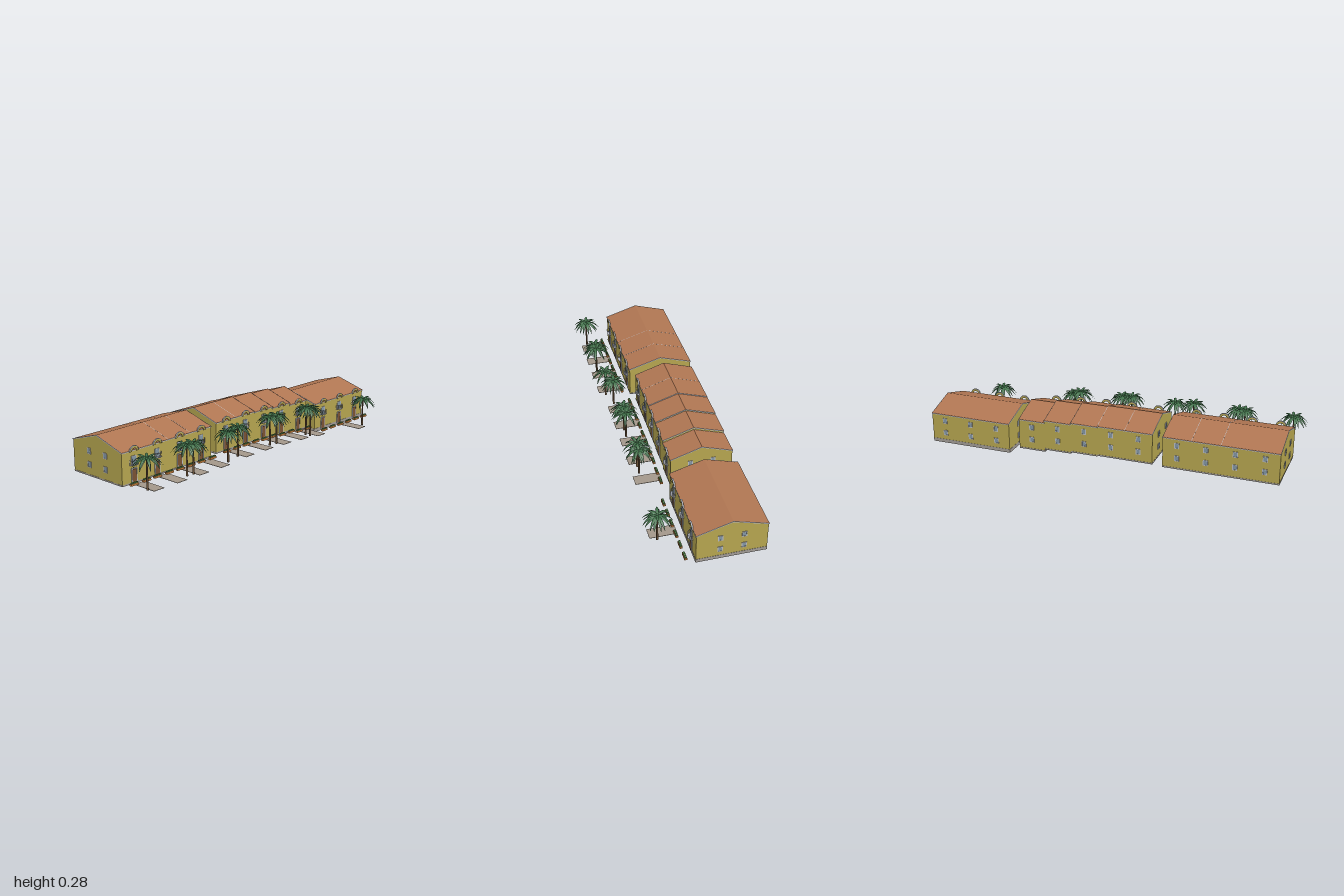
import * as THREE from 'three';

const mat = (color, double) => new THREE.MeshStandardMaterial({ color, side: double ? THREE.DoubleSide : THREE.FrontSide });
const M = {
  wall: mat(0xb5a54f, true), roof: mat(0xb07652, true), trim: mat(0xb9bcc4), glass: mat(0x8195a3),
  door: mat(0x7a5233), plinth: mat(0xa09a94), paving: mat(0xa3978a), pot: mat(0xc07a3a),
  plant: mat(0x4f7a45), trunk: mat(0x6a5138), leaf: mat(0x3f7048, true),
};

function add(parent, name, geo, material, x = 0, y = 0, z = 0) {
  const mesh = new THREE.Mesh(geo, material);
  mesh.name = name;
  mesh.position.set(x, y, z);
  parent.add(mesh);
  return mesh;
}
const box = (parent, name, w, h, d, m, x, y, z) => add(parent, name, new THREE.BoxGeometry(w, h, d), m, x, y, z);

// Extrudes a [z, y] outline along +x, starting at x
function slab(parent, name, points, width, m, x) {
  const shape = new THREE.Shape(points.map(([z, y]) => new THREE.Vector2(-z, y)));
  const geo = new THREE.ExtrudeGeometry(shape, { depth: width, bevelEnabled: false });
  geo.rotateY(Math.PI / 2);
  return add(parent, name, geo, m, x);
}

const EAVE = 0.155, RIDGE = 0.209;

// Shell of one stretch of houses: open below, with gables, roof and trims
function shell(parent, x0, x1, zb, zf, g, plinthH) {
  const s = new THREE.Group();
  s.name = 'houseShell';
  s.position.y = g;
  parent.add(s);
  const zm = (zb + zf) / 2, w = x1 - x0, cx = (x0 + x1) / 2, t = 0.003;
  const gable = [[zb, -0.01], [zf, -0.01], [zf, EAVE], [zm, RIDGE], [zb, EAVE]];
  slab(s, 'gableWall', gable, t, M.wall, x0);
  slab(s, 'gableWall', gable, t, M.wall, x1 - t);
  for (const [name, z] of [['frontWall', zf - t / 2], ['backWall', zb + t / 2]])
    box(s, name, w, EAVE + 0.01, t, M.wall, cx, (EAVE - 0.01) / 2, z);
  const chevron = (o, lo, hi) => [[zf + o, EAVE + lo], [zm, RIDGE + lo], [zb - o, EAVE + lo],
    [zb - o, EAVE + hi], [zm, RIDGE + hi], [zf + o, EAVE + hi]];
  slab(s, 'roof', chevron(0.002, 0, 0.004), w, M.roof, x0);
  for (const x of [x0 - 0.001, x1 - 0.001]) slab(s, 'gableTrim', chevron(0.003, -0.001, 0.0042), 0.002, M.trim, x);
  for (const z of [zf + 0.002, zb - 0.002]) box(s, 'eaveTrim', w, 0.004, 0.003, M.trim, cx, EAVE + 0.001, z);
  // Plinth bands
  const py = -0.01 + plinthH / 2;
  for (const z of [zf, zb]) box(s, 'plinth', w, plinthH, 0.002, M.plinth, cx, py, z);
  for (const x of [x0, x1]) box(s, 'plinth', 0.002, plinthH, zf - zb, M.plinth, x, py, zm);
}

// Framed window facing +z, turned by ry
function windowUnit(parent, x, y, z, ry) {
  const g = new THREE.Group();
  g.name = 'window';
  const w = 0.026, h = 0.031, f = 0.004;
  for (const k of [-1, 1]) {
    box(g, 'windowFrame', f, h, 0.006, M.trim, k * (w - f) / 2, 0, 0);
    box(g, 'windowFrame', w, f, 0.006, M.trim, 0, k * (h - f) / 2, 0);
  }
  box(g, 'windowPane', w - f, h - f, 0.003, M.glass, 0, 0, 0);
  g.position.set(x, y, z);
  g.rotation.y = ry;
  parent.add(g);
}

function halfRing(outer, inner, depth) {
  const s = new THREE.Shape();
  s.absarc(0, 0, outer, 0, Math.PI, false);
  s.absarc(0, 0, inner, Math.PI, 0, true);
  return new THREE.ExtrudeGeometry(s, { depth, bevelEnabled: false, curveSegments: 10 });
}

// Front and back features of one dwelling, centred on its door
function dwelling(parent, x, zb, zf, g, path) {
  const d = new THREE.Group();
  d.name = 'dwelling';
  d.position.set(x, g, zf);
  parent.add(d);
  box(d, 'door', 0.028, 0.062, 0.004, M.door, 0, 0.031, 0.001);
  for (const k of [-1, 1]) box(d, 'doorFrame', 0.004, 0.066, 0.007, M.trim, k * 0.016, 0.033, 0.001);
  box(d, 'doorFrame', 0.036, 0.004, 0.007, M.trim, 0, 0.066, 0.001);
  // Upper glazed door behind a curved balcony
  box(d, 'balconyDoorFrame', 0.032, 0.046, 0.004, M.trim, 0, 0.107, 0.001);
  box(d, 'balconyDoor', 0.024, 0.04, 0.006, M.glass, 0, 0.106, 0.001);
  const curve = (name, r, h, y, open) => {
    const m = add(d, name, new THREE.CylinderGeometry(r, r, h, 10, 1, open, -Math.PI / 2, Math.PI), M.trim, 0, y, 0);
    m.scale.z = 0.75;
  };
  curve('balconyFloor', 0.026, 0.003, 0.086, false);
  const rail = add(d, 'balconyRail', new THREE.TorusGeometry(0.025, 0.0012, 4, 10, Math.PI).rotateX(Math.PI / 2), M.trim, 0, 0.109, 0);
  rail.scale.z = 0.75;
  for (let i = 0; i <= 8; i++) {
    const a = i * Math.PI / 8;
    box(d, 'baluster', 0.0012, 0.022, 0.0012, M.trim, 0.025 * Math.cos(a), 0.098, 0.01875 * Math.sin(a));
  }
  // Arched parapet at the eave
  add(d, 'eaveArch', halfRing(0.026, 0.016, 0.006), M.wall, 0, EAVE - 0.002, 0.002);
  add(d, 'eaveArchTrim', halfRing(0.029, 0.026, 0.008), M.trim, 0, EAVE - 0.002, 0.001);
  // Planters
  for (const k of [-1, 1]) {
    box(d, 'planter', 0.046, 0.01, 0.014, M.pot, k * 0.04, 0.006, 0.044);
    for (let i = -1; i <= 1; i++) box(d, 'planterPlants', 0.012, 0.006, 0.01, M.plant, k * 0.04 + i * 0.014, 0.0135, 0.044);
  }
  if (path) box(d, 'path', 0.066, 0.002, 0.142, M.paving, 0, 0, 0.104);
  for (const y of [0.05, 0.12]) windowUnit(d, 0, y, zb - zf, Math.PI);
}

// Drooping, tapering frond
function frond(length, rise, droop) {
  const geo = new THREE.PlaneGeometry(1, 1, 6, 2).rotateX(-Math.PI / 2);
  const p = geo.attributes.position;
  for (let i = 0; i < p.count; i++) {
    const t = p.getX(i) + 0.5, side = p.getZ(i);
    const w = 0.016 * Math.sin(Math.PI * Math.min(0.97, 0.12 + t * 0.86));
    p.setXYZ(i, length * t * (1 - 0.12 * t), rise * t - droop * t * t - Math.abs(side) * w * 0.6, side * w);
  }
  geo.computeVertexNormals();
  return geo;
}

function palm(parent, x, z, g, turn) {
  const tree = new THREE.Group();
  tree.name = 'palm';
  tree.position.set(x, g, z);
  tree.rotation.y = turn;
  parent.add(tree);
  add(tree, 'palmTrunk', new THREE.CylinderGeometry(0.0035, 0.006, 0.16, 7), M.trunk, 0, 0.08, 0);
  add(tree, 'palmHeart', new THREE.SphereGeometry(0.008, 7, 5), M.leaf, 0, 0.16, 0);
  const tiers = [[9, 0.088, 0.035, 0.075], [8, 0.08, 0.01, 0.058], [6, 0.06, 0.045, 0.04]];
  tiers.forEach(([n, len, rise, droop], k) => {
    const geo = frond(len, rise, droop);
    for (let i = 0; i < n; i++)
      add(tree, 'palmFrond', geo, M.leaf, 0, 0.161, 0).rotation.y = (i + k * 0.4) / n * Math.PI * 2;
  });
}

export function createModel() {
  const root = new THREE.Group();
  root.name = 'terracedHouses';
  // Each shell: [x0, x1, ground level, dwellings]
  const blocks = [
    { name: 'westTerrace', zb: -0.288, zf: 0.07, plinth: 0.008,
      shells: [[-0.953, -0.65, 0.07, 2], [-0.65, -0.497, 0.07, 1], [-0.497, -0.345, 0.07, 1]],
      palms: [[-0.92, 0.21], [-0.655, 0.205], [-0.615, 0.21], [-0.365, 0.21]] },
    { name: 'middleTerrace', zb: -0.278, zf: 0.05, plinth: 0.008,
      shells: [[-0.287, -0.135, 0.07, 1], [-0.135, 0.017, 0.07, 1], [0.017, 0.168, 0.066, 1], [0.168, 0.32, 0.058, 1], [0.32, 0.47, 0.045, 1]],
      palms: [[-0.265, 0.185], [-0.01, 0.185], [0.045, 0.185], [0.3, 0.185], [0.34, 0.185]] },
    { name: 'eastTerrace', zb: -0.288, zf: 0.07, plinth: 0.02,
      shells: [[0.527, 0.998, 0.01, 3]], palms: [[0.81, 0.21]] },
  ];
  for (const b of blocks) {
    const group = new THREE.Group();
    group.name = b.name;
    root.add(group);
    for (const [x0, x1, g, n] of b.shells) {
      shell(group, x0, x1, b.zb, b.zf, g, b.plinth);
      for (let i = 0; i < n; i++) dwelling(group, x0 + (x1 - x0) * (i + 0.5) / n, b.zb, b.zf, g, n < 3 || i === 1);
    }
    // End windows
    const first = b.shells[0], last = b.shells[b.shells.length - 1], zm = (b.zb + b.zf) / 2;
    for (const [x, g, ry] of [[first[0], first[2], -Math.PI / 2], [last[1], last[2], Math.PI / 2]])
      for (const dz of [-0.06, 0.06]) for (const y of [0.05, 0.12]) windowUnit(group, x, g + y, zm + dz, ry);
    b.palms.forEach(([x, z], i) => {
      const s = b.shells.find((q) => x < q[1]) || last;
      palm(group, x, z, s[2], i * 0.9);
    });
  }
  return root;
}
